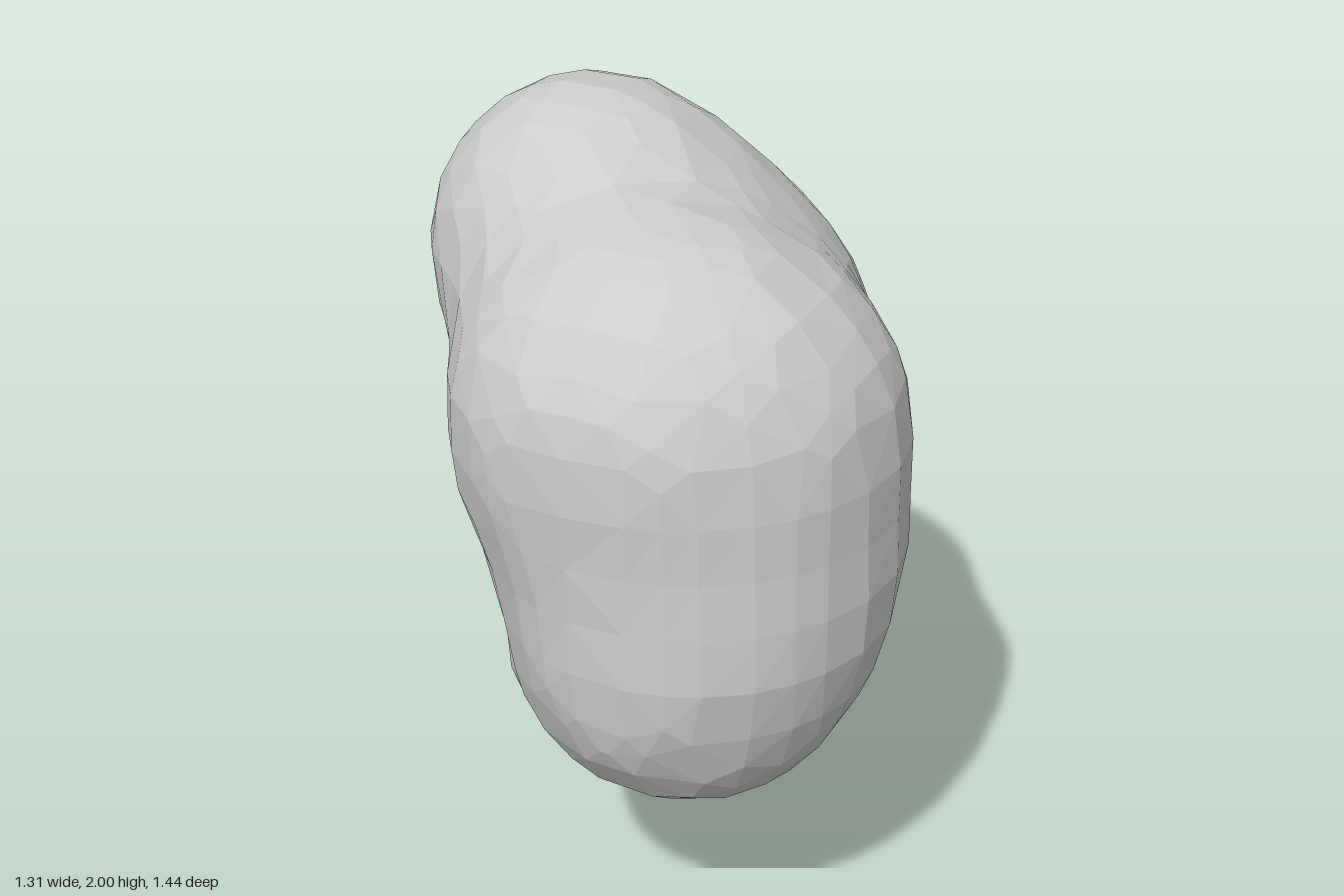
import * as THREE from 'three';

const V = (x, y, z) => new THREE.Vector3(x, y, z);
const CELL = 0.1365;

// Rounded lobes: capsules from a to b with radius r, blended over distance k
const lobes = [
  { a: V(0.165, 0.86, 0.27), b: V(0.165, 0.9, 0.28), r: 0.425, k: 0.15 },  // lower belly
  { a: V(0.05, 1.34, 0.26), b: V(0.05, 1.41, 0.265), r: 0.45, k: 0.15 },   // upper belly
  { a: V(0.2, 1.1, 0.2), b: V(0.2, 1.35, 0.2), r: 0.445, k: 0.15 },        // side bulge
  { a: V(0.04, 1.0, -0.18), b: V(-0.02, 1.37, -0.195), r: 0.4, k: 0.18 },  // back
  { a: V(-0.16, 0.6, -0.29), b: V(-0.08, 1.15, -0.12), r: 0.27, k: 0.18 }, // neck
  { a: V(-0.12, 0.52, -0.2), b: V(0.04, 0.68, 0.05), r: 0.22, k: 0.14 },   // web under the belly
  { a: V(-0.262, 1.59, -0.1), b: V(-0.262, 1.61, -0.1), r: 0.395, k: 0.2 }, // upper knob
  { a: V(-0.275, 0.36, -0.355), b: V(-0.27, 0.37, -0.36), r: 0.37, k: 0.22 } // lower knob
];

function capsule(p, { a, b, r }) {
  const axis = b.clone().sub(a);
  const t = THREE.MathUtils.clamp(p.clone().sub(a).dot(axis) / axis.lengthSq(), 0, 1);
  return p.distanceTo(axis.multiplyScalar(t).add(a)) - r;
}

// Soft union of the lobes, negative inside
function field(p) {
  return lobes.reduce((m, lobe) => {
    const d = capsule(p, lobe);
    const h = Math.max(1 - Math.abs(m - d) / lobe.k, 0);
    return Math.min(m, d) - h * h * lobe.k / 4;
  }, 10);
}

// Move a point onto the surface along the field's gradient
function project(p) {
  const e = 0.002;
  for (let i = 0; i < 5; i++) {
    const g = V(...['x', 'y', 'z'].map(c => {
      const q = p.clone(), s = p.clone();
      q[c] += e;
      s[c] -= e;
      return (field(q) - field(s)) / (2 * e);
    }));
    p.addScaledVector(g, -field(p) / Math.max(g.lengthSq(), 0.2));
  }
  return p;
}

// Coarse net: one vertex per crossed cell, one quad per crossed grid edge
function blobGeometry() {
  const N = [14, 19, 15];
  const origin = V(-0.06 - 6.5 * CELL, 0.12 - 2.5 * CELL, -0.08 - 6.5 * CELL);
  const at = c => V(...c).multiplyScalar(CELL).add(origin);
  const values = new Map(), vertices = new Map();
  const value = c => {
    const key = c.join();
    if (!values.has(key)) values.set(key, field(at(c)));
    return values.get(key);
  };
  const vertex = c => {
    const key = c.join();
    if (!vertices.has(key)) {
      // average of the crossings on the cell's twelve edges
      const sum = V(0, 0, 0);
      let n = 0;
      for (let axis = 0; axis < 3; axis++) for (let i = 0; i < 4; i++) {
        const p = [...c];
        p[(axis + 1) % 3] += i & 1;
        p[(axis + 2) % 3] += i >> 1;
        const q = [...p];
        q[axis]++;
        const u = value(p), w = value(q);
        if ((u < 0) !== (w < 0)) {
          sum.add(at(p).lerp(at(q), u / (u - w)));
          n++;
        }
      }
      vertices.set(key, project(sum.divideScalar(n)));
    }
    return vertices.get(key);
  };

  const points = [];
  for (let x = 0; x < N[0]; x++) for (let y = 0; y < N[1]; y++) for (let z = 0; z < N[2]; z++) {
    const p = [x, y, z];
    for (let axis = 0; axis < 3; axis++) {
      const q = [...p];
      q[axis]++;
      const inside = value(p) < 0;
      if (inside === (value(q) < 0)) continue;
      const quad = [[0, 0], [1, 0], [1, 1], [0, 1]].map(([i, j]) => {
        const c = [...p];
        c[(axis + 1) % 3] -= i;
        c[(axis + 2) % 3] -= j;
        return vertex(c);
      });
      if (!inside) quad.reverse();
      const [a, b, c, d] = quad;
      // split along the shorter diagonal
      if (a.distanceTo(c) < b.distanceTo(d)) points.push(a, b, c, a, c, d);
      else points.push(a, b, d, b, c, d);
    }
  }
  const geometry = new THREE.BufferGeometry().setFromPoints(points);

  // Stand on the ground, centred
  geometry.computeBoundingBox();
  const box = geometry.boundingBox, mid = box.getCenter(V(0, 0, 0));
  geometry.translate(-mid.x, -box.min.y, -mid.z);
  geometry.computeVertexNormals();
  return geometry;
}

export function createModel() {
  const group = new THREE.Group();
  group.name = 'lumpyBlob';
  const body = new THREE.Mesh(
    blobGeometry(),
    new THREE.MeshStandardMaterial({ color: 0xcccccc, flatShading: true })
  );
  body.name = 'blobBody';
  group.add(body);
  return group;
}
